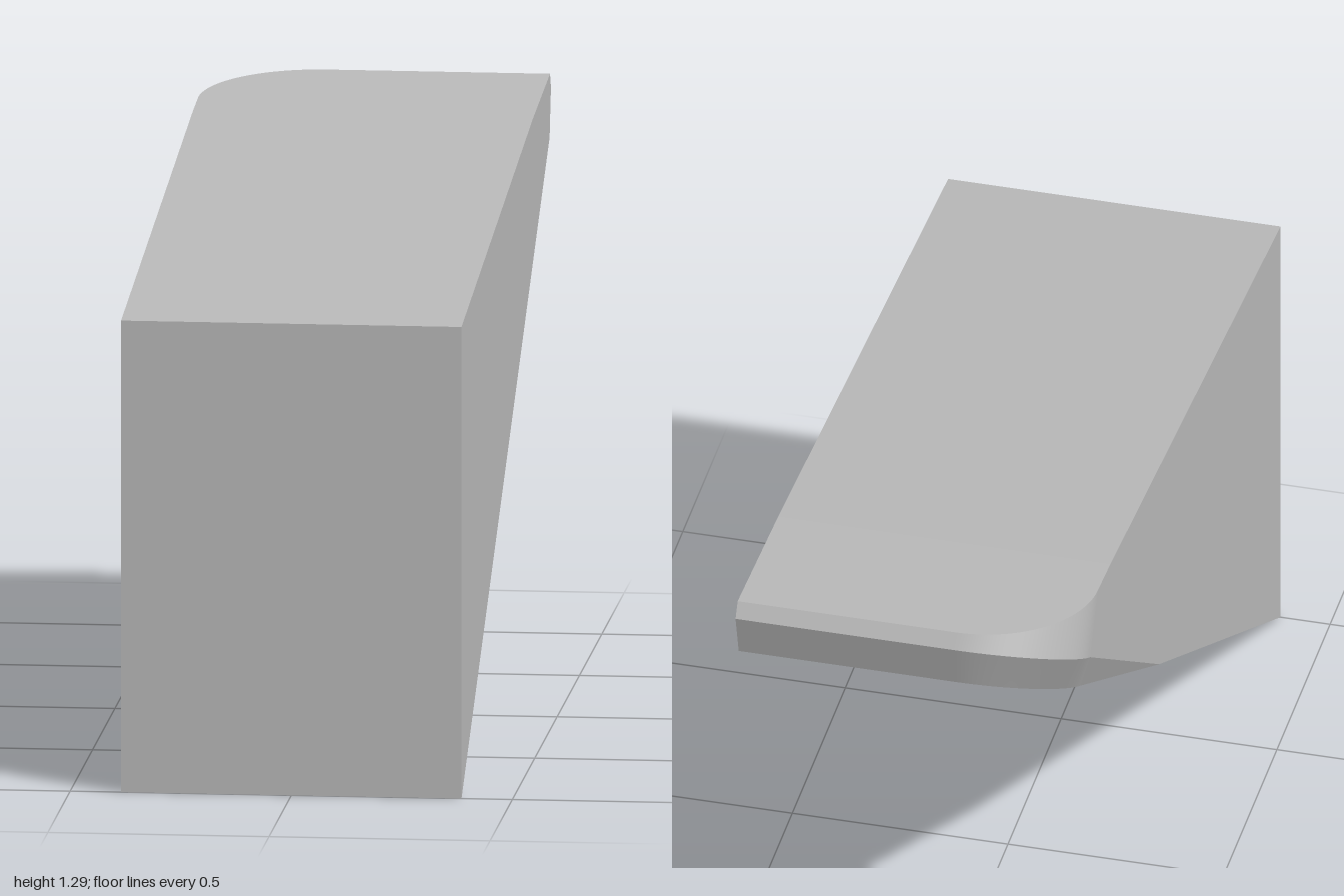
import * as THREE from 'three';
import { toCreasedNormals } from 'three/addons/utils/BufferGeometryUtils.js';

const W = 0.385;                                    // half width
const STEPS = 24;                                   // segments round the corner
const bottomY = z => 0.579 * (1 - z);               // sloping underside
const topY = z => z > -0.6                          // gently sloping top
  ? 1.08 + 0.1094 * (1 - z)
  : 1.255 + 0.079 * (-0.6 - z);

// Back edge from +x to -x, ending in a quarter-ellipse corner
function backEdge(zBack, xEnd, zEnd, height) {
  const points = [new THREE.Vector3(W, height(zBack, 0), zBack)];
  for (let i = 0; i <= STEPS; i++) {
    const a = (i / STEPS) * Math.PI / 2;
    const x = -0.12 + (xEnd + 0.12) * Math.sin(a);
    const z = zEnd + (zBack - zEnd) * Math.cos(a);
    points.push(new THREE.Vector3(x, height(z, 1 - Math.cos(a)), z));
  }
  return points;
}

function geometryFrom(points) {
  return new THREE.BufferGeometry().setFromPoints(points);
}

// Flat convex panel, corners counter-clockwise from outside
function panel(points) {
  const tris = [];
  for (let i = 1; i < points.length - 1; i++) tris.push(points[0], points[i], points[i + 1]);
  const geometry = geometryFrom(tris);
  geometry.computeVertexNormals();
  return geometry;
}

// Smooth band between an upper and a lower edge
function band(upper, lower) {
  const tris = [];
  for (let i = 0; i < upper.length - 1; i++) {
    tris.push(lower[i], lower[i + 1], upper[i + 1], lower[i], upper[i + 1], upper[i]);
  }
  return toCreasedNormals(geometryFrom(tris), 0.5);
}

export function createModel() {
  const group = new THREE.Group();
  group.name = 'wedgeBlock';
  const grey = new THREE.MeshStandardMaterial({ color: 0xb8b8b8 });
  grey.name = 'grey';

  const add = (name, geometry) => {
    const mesh = new THREE.Mesh(geometry, grey);
    mesh.name = name;
    group.add(mesh);
  };
  const v = (x, y, z) => new THREE.Vector3(x, y, z);

  // Three edges stacked round the back
  const top = backEdge(-0.98, -W, -0.72, z => topY(z));
  const middle = backEdge(-1, -W, -0.79, (z, t) => 1.25 - 0.12 * t);
  const bottom = backEdge(-0.97, -0.345, -0.72, z => bottomY(z));
  const topEnd = top[top.length - 1];
  const middleEnd = middle[middle.length - 1];
  const bottomEnd = bottom[bottom.length - 1];

  // Front corners, top bend and the start of the side taper
  const frontTop = [v(W, 1.08, 1), v(-W, 1.08, 1)];
  const frontBottom = [v(W, 0, 1), v(-W, 0, 1)];
  const bend = [v(W, 1.255, -0.6), v(-W, 1.255, -0.6)];
  const taper = v(-W, bottomY(-0.14), -0.14);

  add('frontFace', panel([frontBottom[1], frontBottom[0], frontTop[0], frontTop[1]]));
  add('topFace', panel([frontTop[0], bend[0], bend[1], frontTop[1]]));
  add('topBackFace', panel([bend[0], ...top, bend[1]]));
  add('undersideFace', panel([frontBottom[0], frontBottom[1], taper, ...bottom.slice().reverse()]));
  add('leftFace', panel([frontBottom[0], bottom[0], middle[0], top[0], bend[0], frontTop[0]]));
  add('rightFace', panel([frontBottom[1], frontTop[1], bend[1], topEnd, middleEnd, taper]));
  add('rightTaper', panel([middleEnd, bottomEnd, taper]));
  add('backChamfer', band(top, middle));
  add('backFace', band(middle, bottom));
  return group;
}
